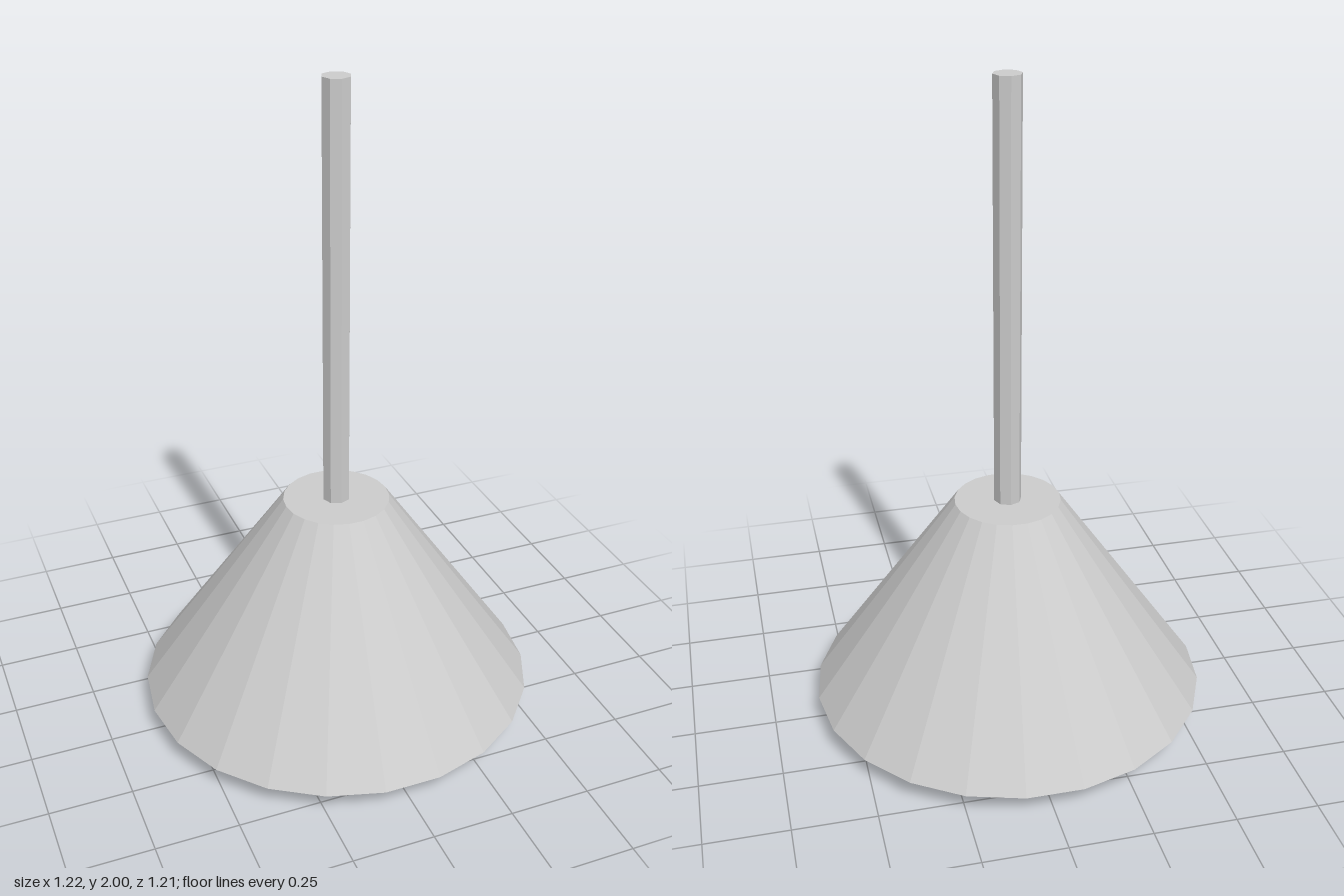
import * as THREE from 'three';

export function createModel() {
  const group = new THREE.Group();
  const material = new THREE.MeshStandardMaterial({ color: 0xcccccc, flatShading: true });

  const add = (name, geometry, y) => {
    const mesh = new THREE.Mesh(geometry, material);
    mesh.name = name;
    mesh.position.y = y;
    group.add(mesh);
    return mesh;
  };

  const shadeBottom = 0.07, shadeTop = 0.71, stemTop = 2;

  // Closed conical shade, a corner on the x axis
  const shade = add('shade',
    new THREE.CylinderGeometry(0.162, 0.61, shadeTop - shadeBottom, 22),
    (shadeTop + shadeBottom) / 2);
  shade.rotation.y = Math.PI / 2;

  // Hanging rod rising from the shade
  add('rod', new THREE.CylinderGeometry(0.042, 0.042, stemTop - shadeTop, 8),
    (stemTop + shadeTop) / 2);

  // Faceted bulb peeking out below the shade
  add('bulb', new THREE.IcosahedronGeometry(0.12, 1), 0.12);

  return group;
}
